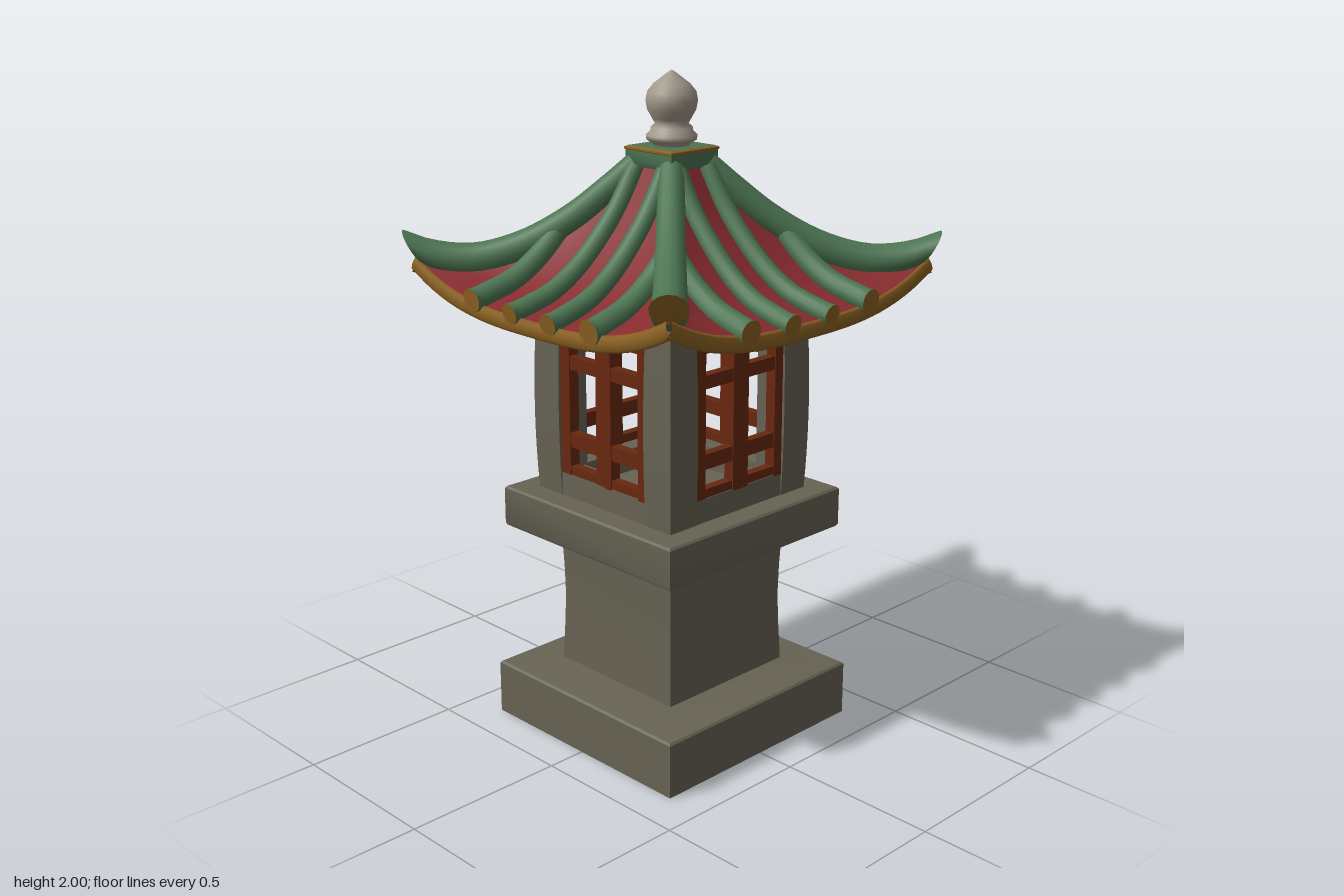
import * as THREE from 'three';
import { ParametricGeometry } from 'three/addons/geometries/ParametricGeometry.js';
import { toCreasedNormals } from 'three/addons/utils/BufferGeometryUtils.js';

const material = (name, color) => new THREE.MeshStandardMaterial({ name, color });
const V = (x, y, z) => new THREE.Vector3(x, y, z);

export function createModel() {
  const stone = material('stone', 0x676354);
  const paleStone = material('paleStone', 0xa1988a);
  const red = material('redRoof', 0x872b2f);
  const green = material('greenTile', 0x4c7552);
  const gold = material('goldTrim', 0x8c6222);
  const wood = material('wood', 0x682810);

  const model = new THREE.Group();
  model.name = 'stoneLantern';

  const add = (parent, name, geometry, mat, x = 0, y = 0, z = 0) => {
    const mesh = new THREE.Mesh(geometry, mat);
    mesh.name = name;
    mesh.position.set(x, y, z);
    parent.add(mesh);
  };
  // Box given by its limits
  const block = (parent, name, mat, x0, x1, y0, y1, z0, z1) =>
    add(parent, name, new THREE.BoxGeometry(x1 - x0, y1 - y0, z1 - z0), mat,
      (x0 + x1) / 2, (y0 + y1) / 2, (z0 + z1) / 2);

  // Four-sided solid from a profile of [half width, height]
  const squareLathe = (profile) => {
    const pts = profile.map(([r, y]) => new THREE.Vector2(r * Math.SQRT2, y));
    return toCreasedNormals(new THREE.LatheGeometry(pts, 4, Math.PI / 4), 0.5);
  };

  // Green tube growing from r0 to r1; the last ring closes it with a gold end face.
  // lean pushes the top of the end outward along the diagonal.
  const rod = (parent, name, points, r0, r1, lean) => {
    const curve = new THREE.CatmullRomCurve3(points);
    const segs = 24, sides = 14;
    const g = new THREE.TubeGeometry(curve, segs, 1, sides);
    const p = g.attributes.position, v = V(0, 0, 0);
    for (let i = 0; i < p.count; i++) {
      const ring = Math.floor(i / (sides + 1));
      const t = Math.min(ring / (segs - 1), 1);
      const c = curve.getPointAt(t);
      v.fromBufferAttribute(p, i).sub(curve.getPointAt(ring / segs));
      v.multiplyScalar(ring === segs ? 0 : r0 + (r1 - r0) * t);
      const push = lean * t ** 6 * v.y;
      p.setXYZ(i, c.x + v.x + push, c.y + v.y, c.z + v.z + push);
    }
    const endStart = (segs - 1) * sides * 6;
    g.addGroup(0, endStart, 0);
    g.addGroup(endStart, sides * 6, 1);
    add(parent, name, toCreasedNormals(g, 0.8), [green, gold]);
  };

  // Plinth (hollow beneath), waisted shaft and upper slab
  add(model, 'pedestal', squareLathe([
    [0, 0.158], [0.37, 0.158], [0.37, 0], [0.38, 0], [0.38, 0.165], [0.374, 0.171],
    [0.239, 0.187], [0.234, 0.3], [0.231, 0.4], [0.233, 0.5], [0.238, 0.612],
    [0.354, 0.628], [0.358, 0.636], [0.358, 0.748], [0.352, 0.754], [0, 0.754],
  ]), stone);

  // Roof surface: height at half width h and side fraction u
  const slopePoints = new THREE.CatmullRomCurve3([
    V(0.07, 1.74, 0), V(0.14, 1.625, 0), V(0.2, 1.55, 0), V(0.3, 1.455, 0),
    V(0.4, 1.395, 0), V(0.53, 1.36, 0),
  ]).getPoints(80);
  const EAVE = 0.53;
  const lift = (u, h, power) => 0.1 * (h / EAVE) ** power * Math.abs(u) ** 3;
  const roofY = (u, h) => {
    let i = 1;
    while (i < 80 && slopePoints[i].x < h) i++;
    const a = slopePoints[i - 1], b = slopePoints[i];
    return a.y + (b.y - a.y) * (h - a.x) / (b.x - a.x) + lift(u, h, 2);
  };
  const soffitY = (u, h) => 1.325 + lift(u, h, 3);
  const roofSheet = (dir, inner, height) => new ParametricGeometry((a, t, target) => {
    const u = dir * (1 - 2 * a), h = inner + (EAVE - inner) * t;
    target.set(u * h, height(u, h), h);
  }, 24, 20);

  for (let k = 0; k < 4; k++) {
    const side = new THREE.Group();
    side.name = 'side' + (k + 1);
    side.rotation.y = k * Math.PI / 2;
    model.add(side);

    // Corner post, swelling slightly at mid height
    const post = new THREE.BoxGeometry(0.1, 0.61, 0.1, 1, 10, 1);
    const p = post.attributes.position;
    for (let i = 0; i < p.count; i++) {
      const bulge = 0.009 * Math.max(0, 1 - ((p.getY(i) + 0.04) / 0.3) ** 2);
      if (p.getX(i) > 0) p.setX(i, p.getX(i) + bulge);
      if (p.getZ(i) > 0) p.setZ(i, p.getZ(i) + bulge);
    }
    post.computeVertexNormals();
    add(side, 'cornerPost', post, stone, 0.23, 1.055, 0.23);
    block(side, 'windowSill', stone, -0.185, 0.185, 0.75, 0.825, 0.19, 0.28);
    block(side, 'windowLintel', stone, -0.185, 0.185, 1.278, 1.355, 0.19, 0.28);

    // Window lattice
    for (const [x, w] of [[-0.163, 0.045], [0.004, 0.062], [0.168, 0.04]])
      block(side, 'windowUpright', wood, x - w / 2, x + w / 2, 0.82, 1.285, 0.245, 0.28);
    for (const [y, h] of [[0.836, 0.032], [0.934, 0.045], [1.17, 0.04], [1.268, 0.03]])
      block(side, 'windowCrossbar', wood, -0.18, 0.18, y - h / 2, y + h / 2, 0.248, 0.277);

    // Roof panel, flatter soffit and flattened eave trim
    add(side, 'roofPanel', roofSheet(1, 0.07, roofY), red);
    add(side, 'soffit', roofSheet(-1, 0.2, soffitY), red);
    const eave = [];
    for (let i = -8; i <= 8; i++)
      eave.push(V(i / 8 * EAVE, roofY(i / 8, EAVE) - 0.018, 0));
    const trim = new THREE.TubeGeometry(new THREE.CatmullRomCurve3(eave), 32, 0.024, 8);
    trim.scale(1, 1, 0.4);
    add(side, 'eaveTrim', trim, gold, 0, 0, EAVE - 0.002);

    // Tile ribs
    for (const s of [-1, 1]) {
      for (const [x0, x1, start, r] of [[0.06, 0.08, 0.085, 0.031], [0.225, 0.245, 0.23, 0.036]]) {
        const path = [];
        for (let i = 0; i <= 7; i++) {
          const t = i / 7, h = start + (EAVE - start) * t, x = s * (x0 + (x1 - x0) * t);
          path.push(V(x, roofY(x / h, h) + 0.014, h));
        }
        path.push(V(s * x1, path[7].y, 0.546));
        rod(side, 'tileRib', path, r - 0.004, r, 0);
      }
    }

    // Upturned corner ridge
    const ridge = [[0.07, 1.735], [0.13, 1.66], [0.2, 1.58], [0.3, 1.498], [0.4, 1.456],
      [0.48, 1.464], [0.532, 1.494]];
    rod(side, 'cornerRidge', ridge.map(([d, y]) => V(d, y, d)), 0.037, 0.052, 0.75);
  }

  // Cap at the roof peak
  add(model, 'peakCap', squareLathe([[0, 1.73], [0.085, 1.73], [0.093, 1.745], [0.093, 1.778]]), green);
  add(model, 'peakCapTrim', squareLathe([[0.093, 1.776], [0.096, 1.778], [0.096, 1.784], [0.088, 1.788]]), gold);
  add(model, 'peakCapTop', squareLathe([[0.088, 1.788], [0, 1.79]]), green);

  // Jewel finial
  const finial = [[0.05, 1.78], [0.054, 1.795], [0.072, 1.805], [0.074, 1.818], [0.062, 1.828],
    [0.06, 1.84], [0.048, 1.85], [0.056, 1.865], [0.07, 1.89], [0.075, 1.915], [0.07, 1.94],
    [0.052, 1.962], [0.028, 1.98], [0.01, 1.994], [0, 2]];
  add(model, 'finial', new THREE.LatheGeometry(
    finial.map(([r, y]) => new THREE.Vector2(r, y)), 28), paleStone);

  return model;
}
